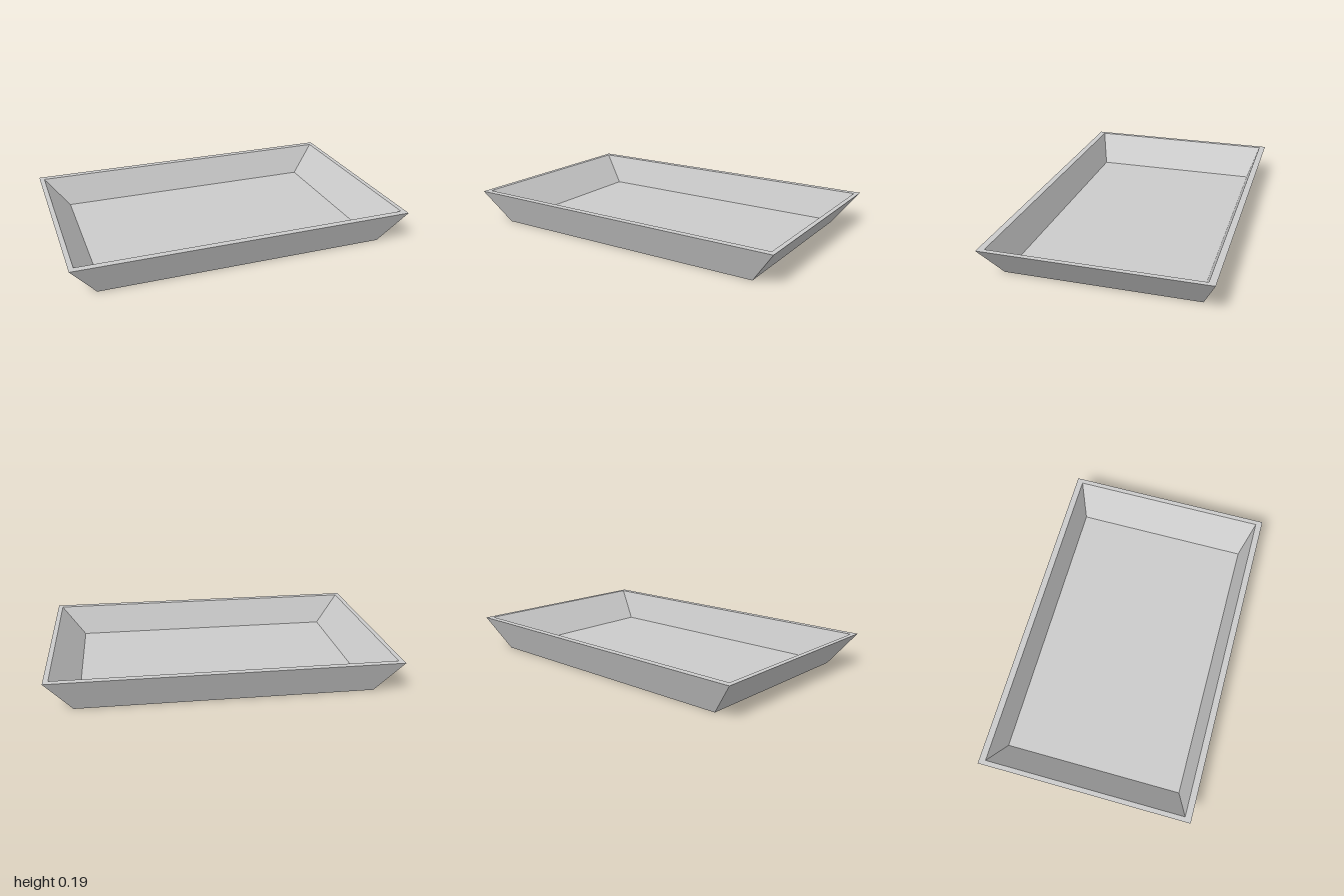
import * as THREE from 'three';

// Rectangular rings [half width, height, half depth]
const baseRing = [0.855, 0, 0.555];
const outerRim = [1, 0.195, 0.635];
const innerRim = [0.972, 0.195, 0.597];
const floorRing = [0.827, 0.015, 0.537];

// Corners run counter-clockwise seen from above
const corners = ([w, y, d]) => [[-w, y, d], [w, y, d], [w, y, -d], [-w, y, -d]];

function meshFromQuads(name, quads, material) {
  const positions = quads.flatMap(([a, b, c, d]) => [a, b, c, a, c, d]).flat();
  const geometry = new THREE.BufferGeometry();
  geometry.setAttribute('position', new THREE.Float32BufferAttribute(positions, 3));
  geometry.computeVertexNormals();
  const mesh = new THREE.Mesh(geometry, material);
  mesh.name = name;
  return mesh;
}

// Four-sided band joining two rings
function band(from, to) {
  const a = corners(from), b = corners(to);
  return a.map((corner, i) => {
    const next = (i + 1) % 4;
    return [corner, a[next], b[next], b[i]];
  });
}

export function createModel() {
  const material = new THREE.MeshStandardMaterial({ color: 0xcccccc, flatShading: true });
  const tray = new THREE.Group();
  tray.name = 'tray';
  tray.add(
    meshFromQuads('outerWalls', band(baseRing, outerRim), material),
    meshFromQuads('rim', band(outerRim, innerRim), material),
    meshFromQuads('innerWalls', band(innerRim, floorRing), material),
    meshFromQuads('floor', [corners(floorRing)], material),
    meshFromQuads('underside', [corners(baseRing).reverse()], material),
  );
  return tray;
}
